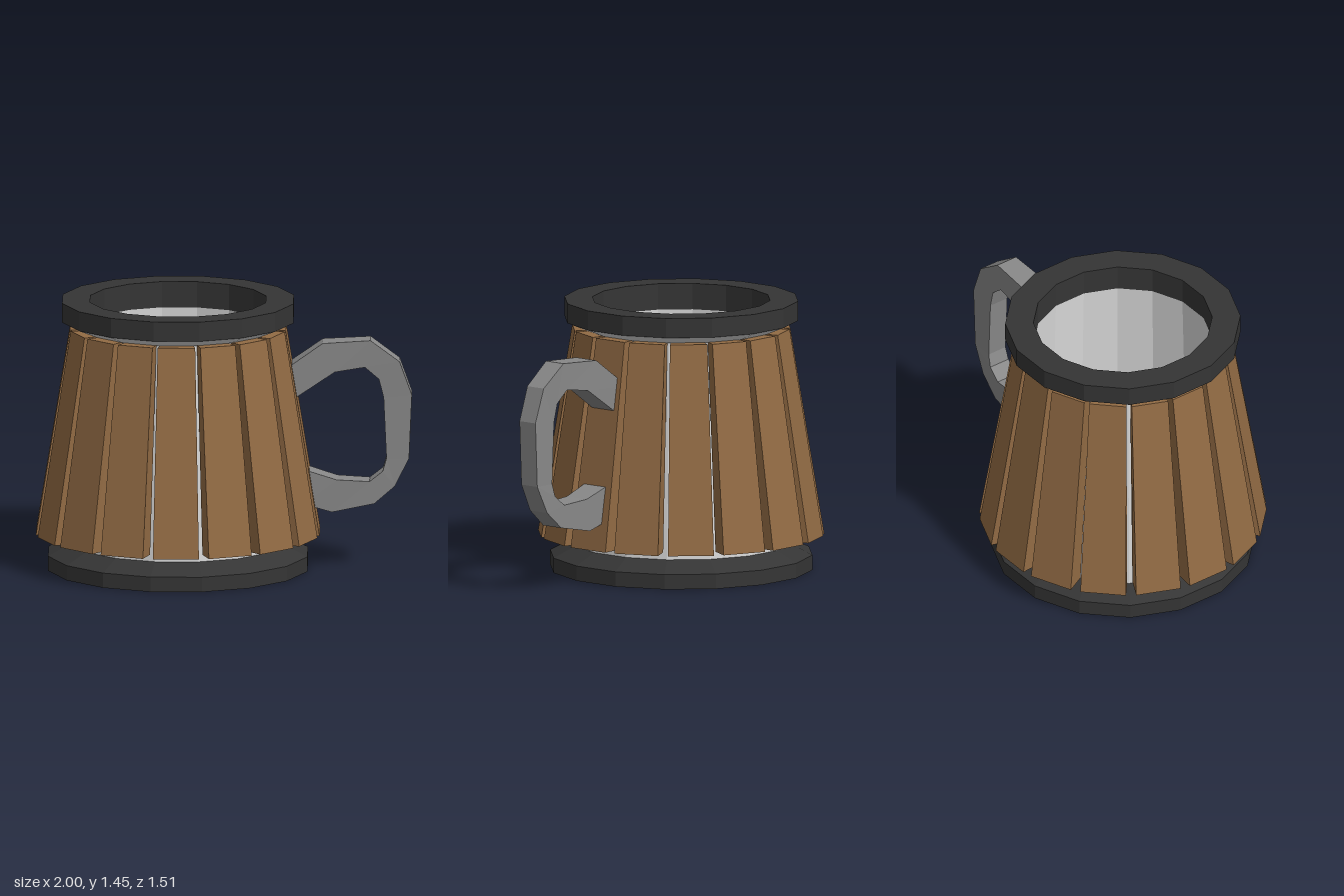
import * as THREE from 'three';

const SIDES = 16;
const STEP = (Math.PI * 2) / SIDES;
const CENTRE_X = -0.245;

const material = (name, color) => {
  const m = new THREE.MeshStandardMaterial({ color });
  m.name = name;
  return m;
};

// Gives every face its own flat normal
const faceted = (geometry) => {
  const g = geometry.index ? geometry.toNonIndexed() : geometry;
  g.computeVertexNormals();
  return g;
};

// Sixteen-sided turned part; profile radii are measured to the flat sides
const turned = (profile) => {
  const k = 1 / Math.cos(STEP / 2);
  const points = profile.map(([r, y]) => new THREE.Vector2(r * k, y));
  return faceted(new THREE.LatheGeometry(points, SIDES, STEP / 2));
};

// Tapered plank: wider and further out at the bottom, leaning inwards at the top
function staveGeometry() {
  const g = new THREE.BoxGeometry(2, 2, 2);
  const p = g.attributes.position;
  for (let i = 0; i < p.count; i++) {
    const top = p.getY(i) > 0;
    const outer = p.getZ(i) > 0;
    const half = top ? (outer ? 0.1 : 0.088) : (outer ? 0.1225 : 0.112);
    const radius = top ? (outer ? 0.575 : 0.495) : (outer ? 0.755 : 0.635);
    p.setXYZ(i, Math.sign(p.getX(i)) * half, top ? 1.3 : 0.19, radius);
  }
  return faceted(g);
}

// Handle swept through rectangular sections: outer x, outer y, inner x, inner y, half width
function handleGeometry() {
  const sections = [
    [0.29, 1.06, 0.32, 0.89, 0.08],
    [0.525, 1.225, 0.59, 1.07, 0.07],
    [0.78, 1.24, 0.75, 1.095, 0.062],
    [0.935, 1.125, 0.825, 1.03, 0.058],
    [1.0, 0.945, 0.85, 0.93, 0.056],
    [0.985, 0.6, 0.865, 0.6, 0.056],
    [0.91, 0.45, 0.845, 0.53, 0.06],
    [0.8, 0.355, 0.775, 0.475, 0.064],
    [0.575, 0.31, 0.6, 0.485, 0.07],
    [0.42, 0.355, 0.4, 0.55, 0.078],
  ];
  const positions = [];
  const index = [];
  sections.forEach(([ox, oy, ix, iy, w], i) => {
    positions.push(ox, oy, w, ox, oy, -w, ix, iy, -w, ix, iy, w);
    if (i === sections.length - 1) return;
    for (let k = 0; k < 4; k++) {
      const a = i * 4 + k;
      const b = i * 4 + ((k + 1) % 4);
      index.push(a, a + 4, b + 4, a, b + 4, b);
    }
  });
  // End caps
  const e = (sections.length - 1) * 4;
  index.push(0, 1, 2, 0, 2, 3, e, e + 2, e + 1, e, e + 3, e + 2);
  const g = new THREE.BufferGeometry();
  g.setAttribute('position', new THREE.Float32BufferAttribute(positions, 3));
  g.setIndex(index);
  return faceted(g);
}

export function createModel() {
  const wood = material('wood', 0x926b44);
  const darkIron = material('dark iron', 0x353535);
  const grey = material('grey metal', 0x888888);
  const pale = material('pale metal', 0xd8d8d8);

  const model = new THREE.Group();
  model.name = 'mug';
  const add = (parent, name, geometry, mat) => {
    const mesh = new THREE.Mesh(geometry, mat);
    mesh.name = name;
    parent.add(mesh);
    return mesh;
  };

  const body = new THREE.Group();
  body.name = 'body';
  body.position.x = CENTRE_X;
  model.add(body);

  // Foot and rim
  add(body, 'base', turned([[0, 0], [0.69, 0], [0.69, 0.08], [0.575, 0.14], [0, 0.14]]), darkIron);
  add(body, 'rim', turned([[0.615, 1.345], [0.615, 1.45], [0.4675, 1.45], [0.4675, 1.31]]), darkIron);

  // Metal cup behind the staves, flaring out beneath the rim
  add(body, 'cupOutside', turned([[0.575, 0.14], [0.49, 1.3], [0.51, 1.3], [0.615, 1.345]]), pale);
  add(body, 'cupInside', turned([[0.4675, 1.31], [0.5, 0.2], [0, 0.2]]), pale);

  // Ring of staves
  const staves = new THREE.Group();
  staves.name = 'staves';
  body.add(staves);
  const stave = staveGeometry();
  for (let i = 0; i < SIDES; i++) {
    add(staves, 'stave', stave, wood).rotation.y = i * STEP;
  }

  add(model, 'handle', handleGeometry(), grey);
  return model;
}
